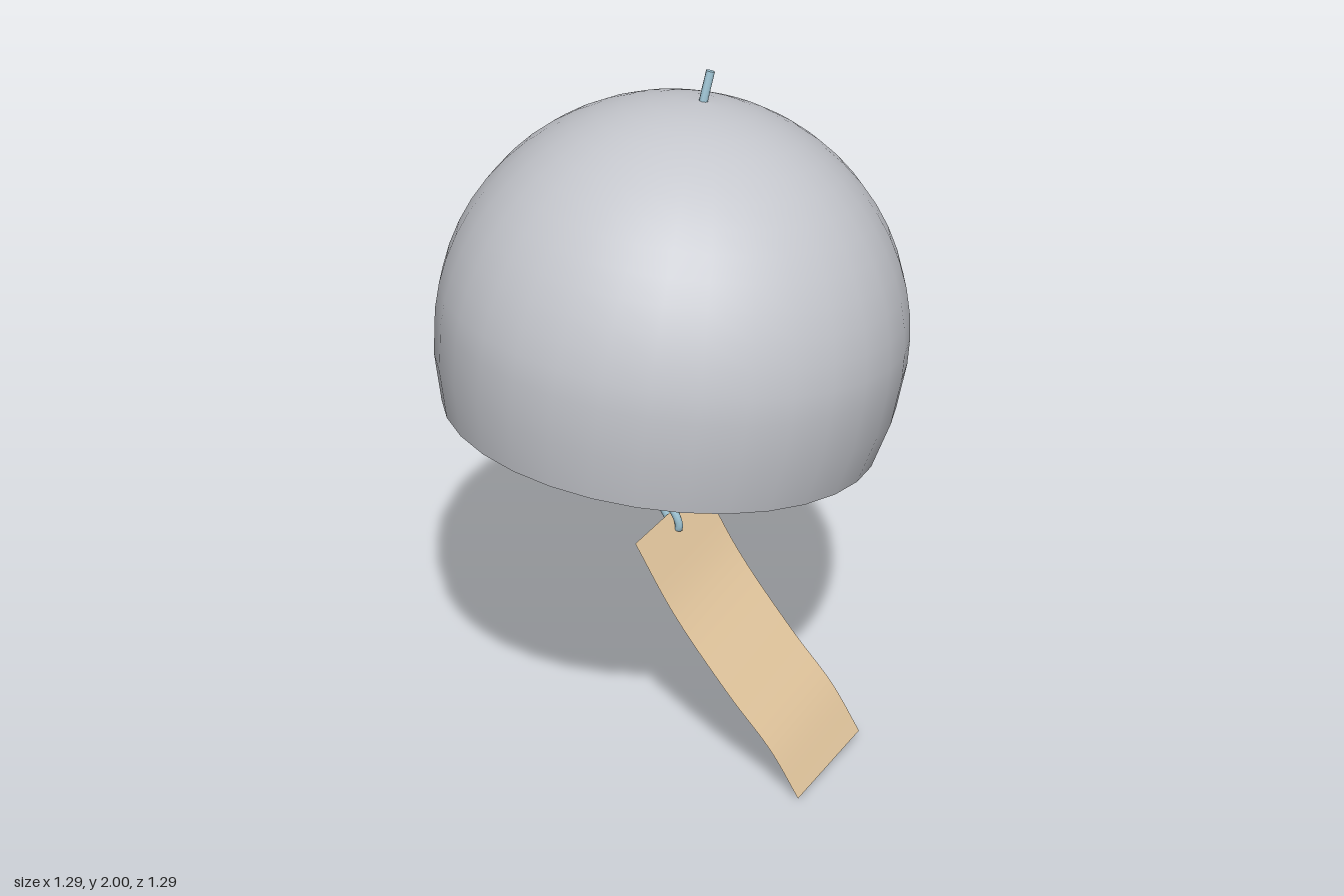
import * as THREE from 'three';

const V = (p) => new THREE.Vector3(...p);

function addMesh(parent, name, geometry, material) {
  const mesh = new THREE.Mesh(geometry, material);
  mesh.name = name;
  parent.add(mesh);
  return mesh;
}

// Sweeps one edge curve sideways to make a bent sheet.
function sheet(edgePoints, width, steps) {
  const curve = new THREE.CatmullRomCurve3(edgePoints.map(V));
  const geometry = new THREE.PlaneGeometry(1, 1, 1, steps);
  const pos = geometry.attributes.position;
  for (let i = 0; i <= steps; i++) {
    const p = curve.getPoint(i / steps);
    pos.setXYZ(i * 2, p.x, p.y, p.z);
    p.add(width);
    pos.setXYZ(i * 2 + 1, p.x, p.y, p.z);
  }
  geometry.computeVertexNormals();
  return geometry;
}

export function createModel() {
  const group = new THREE.Group();
  group.name = 'windChime';

  const bellGrey = new THREE.MeshStandardMaterial({ color: 0xc5c7cd, side: THREE.DoubleSide });
  bellGrey.name = 'bell grey';
  const cordBlue = new THREE.MeshStandardMaterial({ color: 0xa2c8d8 });
  cordBlue.name = 'cord pale blue';
  const beadBlue = new THREE.MeshStandardMaterial({ color: 0x2086d8 });
  beadBlue.name = 'bead blue';
  const paperTan = new THREE.MeshStandardMaterial({ color: 0xdfc39b, side: THREE.DoubleSide });
  paperTan.name = 'paper tan';

  // Open bell: a rounded profile from rim to crown, swung to one side
  const R = 0.643, rows = 14, rimY = -0.265, rimR = 0.601;
  const profile = [new THREE.Vector2(rimR, rimY), new THREE.Vector2(0.634, -0.13)];
  for (let i = 0; i <= rows; i++) {
    const a = (i / rows) * Math.PI / 2;
    profile.push(new THREE.Vector2(R * Math.cos(a), R * Math.sin(a)));
  }
  const bell = addMesh(group, 'bell', new THREE.LatheGeometry(profile, 32), bellGrey);
  bell.position.y = 1.285;
  bell.rotation.z = -0.142;

  // Cord: through the crown and bead, then looped through the paper strip
  const cordPath = new THREE.CatmullRomCurve3([
    [0.113, 2.0, 0], [0.09, 1.91, 0], [0.03, 1.6, -0.005], [-0.03, 1.25, -0.025],
    [-0.055, 1.02, -0.043], [-0.055, 0.905, -0.045], [-0.048, 0.82, -0.042],
    [-0.03, 0.755, -0.033], [-0.015, 0.715, -0.02], [0.002, 0.672, 0],
    [0.01, 0.664, 0.018], [0.008, 0.69, 0.022], [-0.008, 0.735, 0.005], [-0.03, 0.765, -0.028],
  ].map(V));
  addMesh(group, 'cord', new THREE.TubeGeometry(cordPath, 120, 0.012, 8), cordBlue);
  const cordEnd = addMesh(group, 'cordEnd', new THREE.CircleGeometry(0.012, 8), cordBlue);
  cordEnd.position.copy(cordPath.getPoint(0));
  cordEnd.lookAt(cordEnd.position.clone().sub(cordPath.getTangent(0)));

  // Bead
  const bead = addMesh(group, 'bead', new THREE.SphereGeometry(0.082, 32, 20), beadBlue);
  bead.position.set(-0.055, 0.905, -0.045);

  // Paper strip fluttering in the wind
  const strip = sheet([
    [-0.16, 0.695, 0.085], [-0.087, 0.495, 0.175], [0.008, 0.283, 0.33],
    [0.083, 0.14, 0.43], [0.135, 0.003, 0.5],
  ], new THREE.Vector3(0.305, 0.028, -0.175), 20);
  addMesh(group, 'paperStrip', strip, paperTan);

  return group;
}
